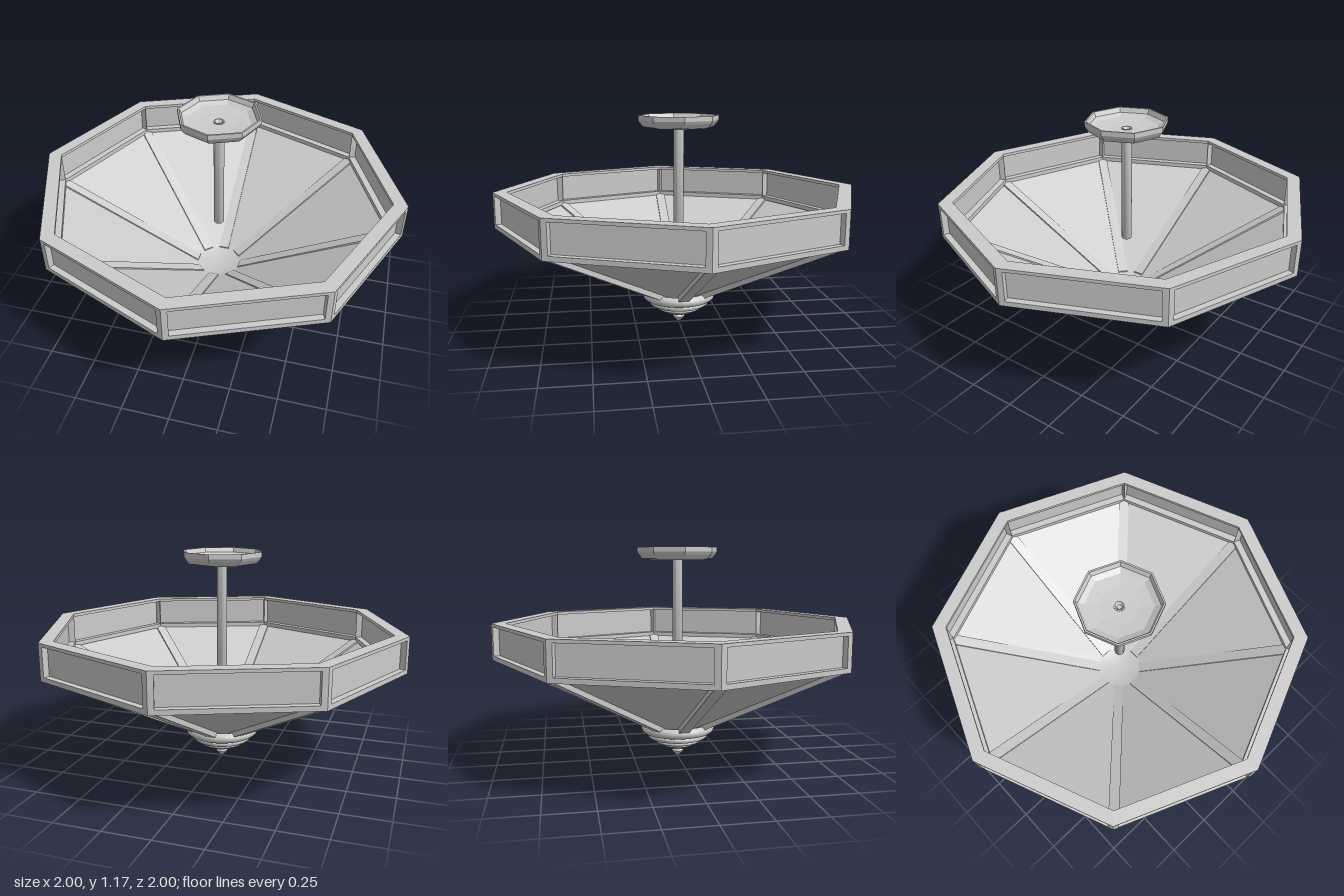
import * as THREE from 'three';
import { toCreasedNormals } from 'three/addons/utils/BufferGeometryUtils.js';

const flat = new THREE.MeshStandardMaterial({ color: 0xcccccc, flatShading: true, side: THREE.DoubleSide });
const smooth = new THREE.MeshStandardMaterial({ color: 0xcccccc, side: THREE.DoubleSide });
const SIDES = 8;
const v2 = (x, y) => new THREE.Vector2(x, y);

function add(parent, name, geometry, material = flat) {
  const mesh = new THREE.Mesh(geometry, material);
  mesh.name = name;
  parent.add(mesh);
  return mesh;
}

// Octagon outline with its corners on the axes
const octagon = (r) => Array.from({ length: SIDES }, (_, i) =>
  v2(r * Math.cos(i * Math.PI / 4), r * Math.sin(i * Math.PI / 4)));

// Extrude a plan shape upwards from y0 to y1
function upright(shape, y0, y1) {
  const g = new THREE.ExtrudeGeometry(shape, { depth: y1 - y0, bevelEnabled: false });
  return g.rotateX(-Math.PI / 2).translate(0, y0, 0);
}

const lathe = (points, segments) =>
  new THREE.LatheGeometry(points.map(([r, y]) => v2(r, y)), segments);

export function createModel() {
  const model = new THREE.Group();
  model.name = 'ceilingLamp';

  // Upper band: two octagonal rails, corner posts and recessed panes
  const band = new THREE.Group();
  band.name = 'shadeBand';
  model.add(band);
  const ring = new THREE.Shape(octagon(1));
  ring.holes.push(new THREE.Path(octagon(0.925)));
  add(band, 'bottomRail', upright(ring, 0.58, 0.605));
  add(band, 'topRail', upright(ring, 0.758, 0.775));
  add(band, 'bandPanes', new THREE.CylinderGeometry(0.965, 0.965, 0.16, SIDES, 1, true).translate(0, 0.682, 0));

  const c = Math.cos(Math.PI / 8), s = Math.sin(Math.PI / 8);
  const w = 0.029, t = 0.069;
  const px = 1 - s * w, py = c * w;
  const post = new THREE.Shape([
    v2(1, 0), v2(px, py), v2(px - c * t, py - s * t),
    v2(0.925, 0), v2(px - c * t, -py + s * t), v2(px, -py),
  ]);
  const postGeometry = upright(post, 0.605, 0.758);

  // Sloping ribs, drawn in side profile and given a width
  const rib = new THREE.Shape([
    v2(0.985, 0.581), v2(0.93, 0.592), v2(0.12, 0.185), v2(0.12, 0.145),
  ]);
  const ribGeometry = new THREE.ExtrudeGeometry(rib, { depth: 0.056, bevelEnabled: false }).translate(0, 0, -0.028);
  const ribs = new THREE.Group();
  ribs.name = 'ribs';
  model.add(ribs);
  for (let i = 0; i < SIDES; i++) {
    add(band, 'cornerPost', postGeometry).rotation.y = i * Math.PI / 4;
    add(ribs, 'rib', ribGeometry).rotation.y = i * Math.PI / 4;
  }

  // Sloping panes of the bowl
  add(model, 'bowlPanes', new THREE.CylinderGeometry(0.955, 0.11, 0.42, SIDES, 1, true).translate(0, 0.377, 0));

  // Stepped finial with rounded tiers: [radius, bottom, top]
  const tiers = [[0.206, 0.145, 0.2], [0.168, 0.113, 0.145], [0.13, 0.088, 0.113], [0.09, 0.068, 0.088], [0.045, 0.05, 0.068]];
  const profile = [[0, 0.17], [0.15, 0.18]];
  for (const [r, y0, y1] of tiers) {
    const h = (y1 - y0) / 2;
    for (let k = 0; k <= 6; k++) {
      const a = Math.PI / 2 - k * Math.PI / 6;
      profile.push([r - h + h * Math.cos(a), (y0 + y1) / 2 + h * Math.sin(a)]);
    }
  }
  profile.push([0.024, 0.046], [0.033, 0.036], [0.028, 0.026], [0, 0]);
  add(model, 'finial', toCreasedNormals(lathe(profile.reverse(), 40), 0.7), smooth);

  // Stem with a dimpled top end
  const stem = [[0, 0.48], [0.024, 0.48], [0.028, 0.486], [0.028, 1.13], [0.022, 1.13], [0.012, 1.112], [0, 1.108]];
  add(model, 'stem', toCreasedNormals(lathe(stem, 24), 0.7), smooth);

  // Dished octagonal canopy
  const canopy = [
    [0.027, 1.108], [0.165, 1.107], [0.195, 1.114], [0.212, 1.135], [0.221, 1.15], [0.221, 1.175],
    [0.212, 1.175], [0.2, 1.15], [0.17, 1.135], [0.1, 1.128], [0.027, 1.126],
  ];
  add(model, 'canopy', lathe(canopy, SIDES));

  return model;
}
